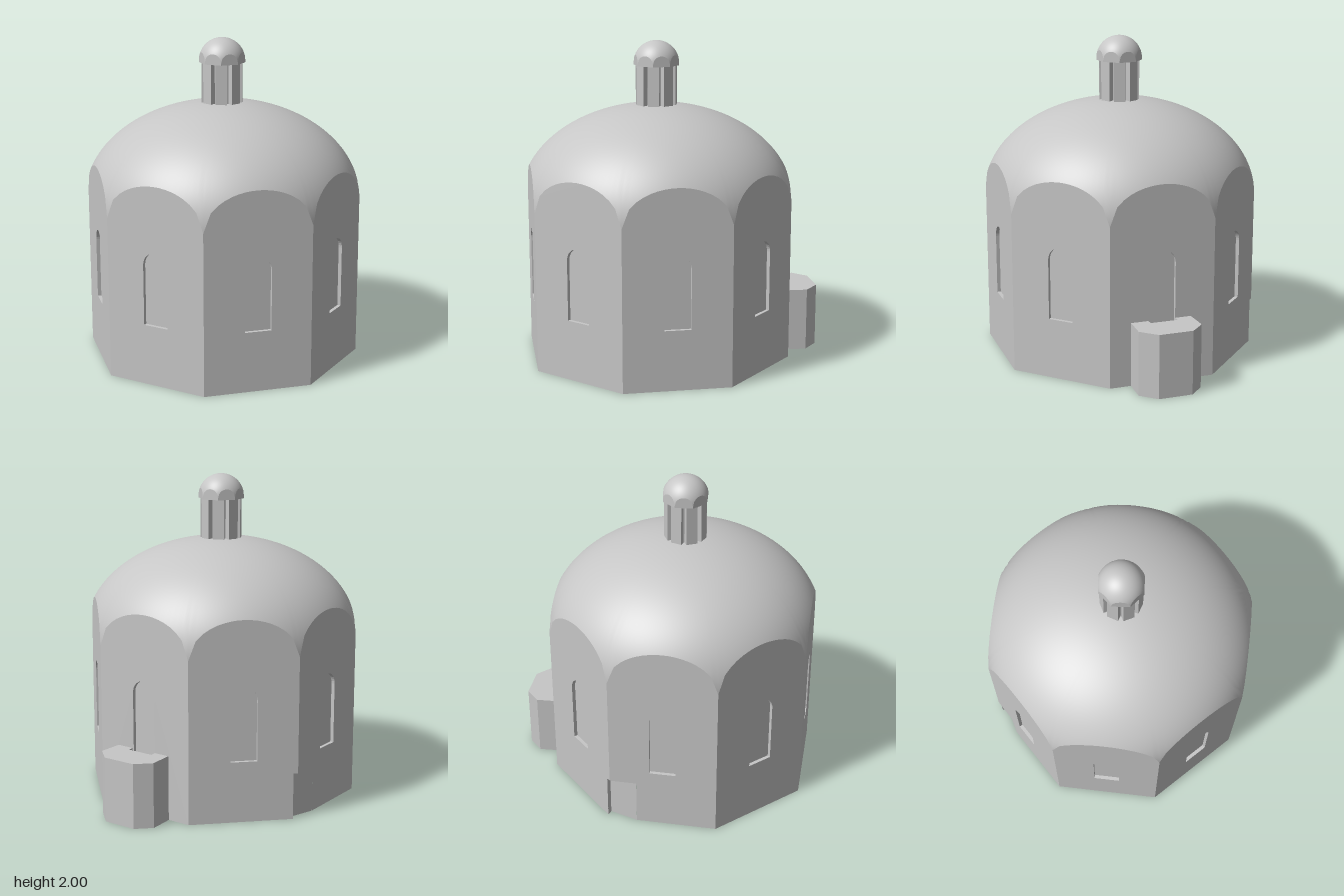
import * as THREE from 'three';

const STEP = Math.PI / 4, HALF = Math.PI / 8, ARC = 16;

export function createModel() {
  const model = new THREE.Group();
  const stone = new THREE.MeshStandardMaterial({ color: 0xc6c6c6 });
  stone.name = 'pale stone';

  const add = (parent, name, geometry, x = 0, y = 0, z = 0, ry = 0) => {
    const mesh = new THREE.Mesh(geometry, stone);
    mesh.name = name;
    mesh.position.set(x, y, z);
    mesh.rotation.y = ry;
    parent.add(mesh);
    return mesh;
  };
  const group = (parent, name, x = 0, y = 0, z = 0, ry = 0) => {
    const g = new THREE.Group();
    g.name = name;
    g.position.set(x, y, z);
    g.rotation.y = ry;
    parent.add(g);
    return g;
  };
  const toShape = (pts) => new THREE.Shape(pts.map(([x, y]) => new THREE.Vector2(x, y)));
  // Upright prism over a plan given as [x, z]
  const prism = (plan, height) => {
    const g = new THREE.ExtrudeGeometry(toShape(plan.map(([x, z]) => [x, -z])), { depth: height, bevelEnabled: false });
    return g.rotateX(-Math.PI / 2);
  };
  // Downward facing plate over a plan given as [x, z]
  const soffit = (plan) => new THREE.ShapeGeometry(toShape(plan)).rotateX(Math.PI / 2);

  // Half ellipsoid trimmed by an octagonal prism through its rim
  const trimmedDome = (R, b) => {
    const rows = 32, segs = 8 * ARC;
    const profile = Array.from({ length: rows + 1 }, (_, j) => new THREE.Vector2(R, j));
    const geo = new THREE.LatheGeometry(profile, segs);
    const pos = geo.attributes.position, nor = geo.attributes.normal;
    const n = new THREE.Vector3();
    for (let i = 0; i <= segs; i++) {
      const theta = (i / segs) * Math.PI * 2;
      const start = Math.acos(Math.min(1, Math.cos(HALF) / Math.cos(((i % ARC) / ARC) * STEP - HALF)));
      for (let j = 0; j <= rows; j++) {
        const k = i * (rows + 1) + j;
        const phi = start + (Math.PI / 2 - start) * (j / rows);
        const r = R * Math.cos(phi), y = b * Math.sin(phi);
        pos.setXYZ(k, r * Math.sin(theta), y, r * Math.cos(theta));
        n.set(r * Math.sin(theta) / (R * R), y / (b * b), r * Math.cos(theta) / (R * R)).normalize();
        nor.setXYZ(k, n.x, n.y, n.z);
      }
    }
    return geo;
  };

  // Outline of one wall, arched on top where it meets the dome
  const wallOutline = (R, b, base, spring, cutLeft = 0, cutRight = 0, cutTop = 0) => {
    const h = R * Math.sin(HALF), ap = R * Math.cos(HALF), pts = [];
    if (cutLeft) pts.push([-h, cutTop], [-h + cutLeft, cutTop]);
    pts.push([-h + cutLeft, base], [h - cutRight, base]);
    if (cutRight) pts.push([h - cutRight, cutTop], [h, cutTop]);
    for (let i = 0; i <= ARC; i++) {
      const a = HALF - (i / ARC) * STEP, r = ap / Math.cos(a);
      pts.push([ap * Math.tan(a), spring + b * Math.sqrt(Math.max(0, 1 - (r * r) / (R * R)))]);
    }
    return pts;
  };

  // Round-headed window outline
  const W = 0.081, SILL = 0.375, HEAD = 0.749, DEPTH = 0.022;
  const windowPts = [[-W, SILL], [W, SILL]];
  for (let i = 0; i <= 16; i++) {
    const a = (i / 16) * Math.PI;
    windowPts.push([W * Math.cos(a), HEAD + W * Math.sin(a)]);
  }
  // Inward facing sides of the window recess
  const revealGeometry = () => {
    const v = [];
    windowPts.forEach(([x0, y0], i) => {
      const [x1, y1] = windowPts[(i + 1) % windowPts.length];
      v.push(x0, y0, 0, x1, y1, -DEPTH, x0, y0, -DEPTH, x0, y0, 0, x1, y1, 0, x1, y1, -DEPTH);
    });
    const g = new THREE.BufferGeometry();
    g.setAttribute('position', new THREE.Float32BufferAttribute(v, 3));
    g.computeVertexNormals();
    return g;
  };

  // Main octagonal hall
  const R = 0.863, B = 0.607, CZ = 0.08, TURN = -0.087, DOOR = 0.285;
  const ap = R * Math.cos(HALF);
  const hall = group(model, 'hall', 0, 0, CZ);
  for (let k = 0; k < 8; k++) {
    const a = TURN + HALF + k * STEP;
    const side = group(hall, 'wallSide', ap * Math.sin(a), 0, ap * Math.cos(a), a);
    const shape = toShape(wallOutline(R, B, 0, 1, k === 6 ? 0.166 : 0, k === 5 ? 0.028 : 0, DOOR));
    shape.holes.push(toShape(windowPts));
    add(side, 'wall', new THREE.ShapeGeometry(shape));
    add(side, 'windowReveal', revealGeometry());
    add(side, 'windowPanel', new THREE.ShapeGeometry(toShape(windowPts)), 0, 0, -DEPTH);
  }
  add(hall, 'dome', trimmedDome(R, B), 0, 1, 0, TURN);

  // Corner doorway recess and floor
  const corner = (k) => [R * Math.sin(TURN + k * STEP), CZ + R * Math.cos(TURN + k * STEP)];
  const notch = [[-0.847, -0.02], [-0.81, -0.02], [-0.81, 0.163]];
  const floorPlan = [];
  for (let k = 0; k < 8; k++) {
    if (k === 6) floorPlan.push(...notch);
    else floorPlan.push(corner(k));
  }
  add(model, 'floor', soffit(floorPlan));
  add(model, 'doorwaySoffit', soffit([...notch, corner(6)]), 0, DOOR, 0);
  add(model, 'doorwayJamb', new THREE.PlaneGeometry(0.037, DOOR), -0.8285, DOOR / 2, -0.02);
  add(model, 'doorwayBack', new THREE.PlaneGeometry(0.183, DOOR), -0.81, DOOR / 2, 0.0715, -Math.PI / 2);

  // Small apse at the back, notched below the window
  const apse = group(model, 'apse');
  const outer = [[-0.05, -0.738], [-0.09, -0.885], [-0.208, -0.94], [-0.41, -0.875], [-0.467, -0.77], [-0.413, -0.625]];
  const cut = [[-0.316, -0.654], [-0.33, -0.692], [-0.166, -0.742], [-0.154, -0.705]];
  add(apse, 'apseBase', prism(outer, SILL));
  add(apse, 'apseTop', prism([...outer, ...cut], 0.4 - SILL), 0, SILL, 0);

  // Lantern: eight piers around a core
  const lantern = group(model, 'lantern', 0, 0, CZ);
  add(lantern, 'lanternCore', new THREE.CylinderGeometry(0.108, 0.108, 0.27, 8), 0, 1.715, 0);
  for (let k = 0; k < 8; k++) {
    const a = k * STEP;
    add(lantern, 'lanternPier', new THREE.BoxGeometry(0.07, 0.27, 0.04),
      0.105 * Math.sin(a), 1.715, 0.105 * Math.cos(a), a);
  }

  // Lantern cap
  const CR = 0.143, CB = 0.143, CY = 1.857, RIM = 1.846;
  const cap = group(lantern, 'lanternCap');
  const capAp = CR * Math.cos(HALF);
  for (let k = 0; k < 8; k++) {
    const a = HALF + k * STEP;
    add(cap, 'capSide', new THREE.ShapeGeometry(toShape(wallOutline(CR, CB, RIM, CY))),
      capAp * Math.sin(a), 0, capAp * Math.cos(a), a);
  }
  add(cap, 'capDome', trimmedDome(CR, CB), 0, CY, 0);
  add(cap, 'capUnderside', new THREE.CircleGeometry(CR, 8).rotateX(Math.PI / 2), 0, RIM, 0);

  return model;
}
